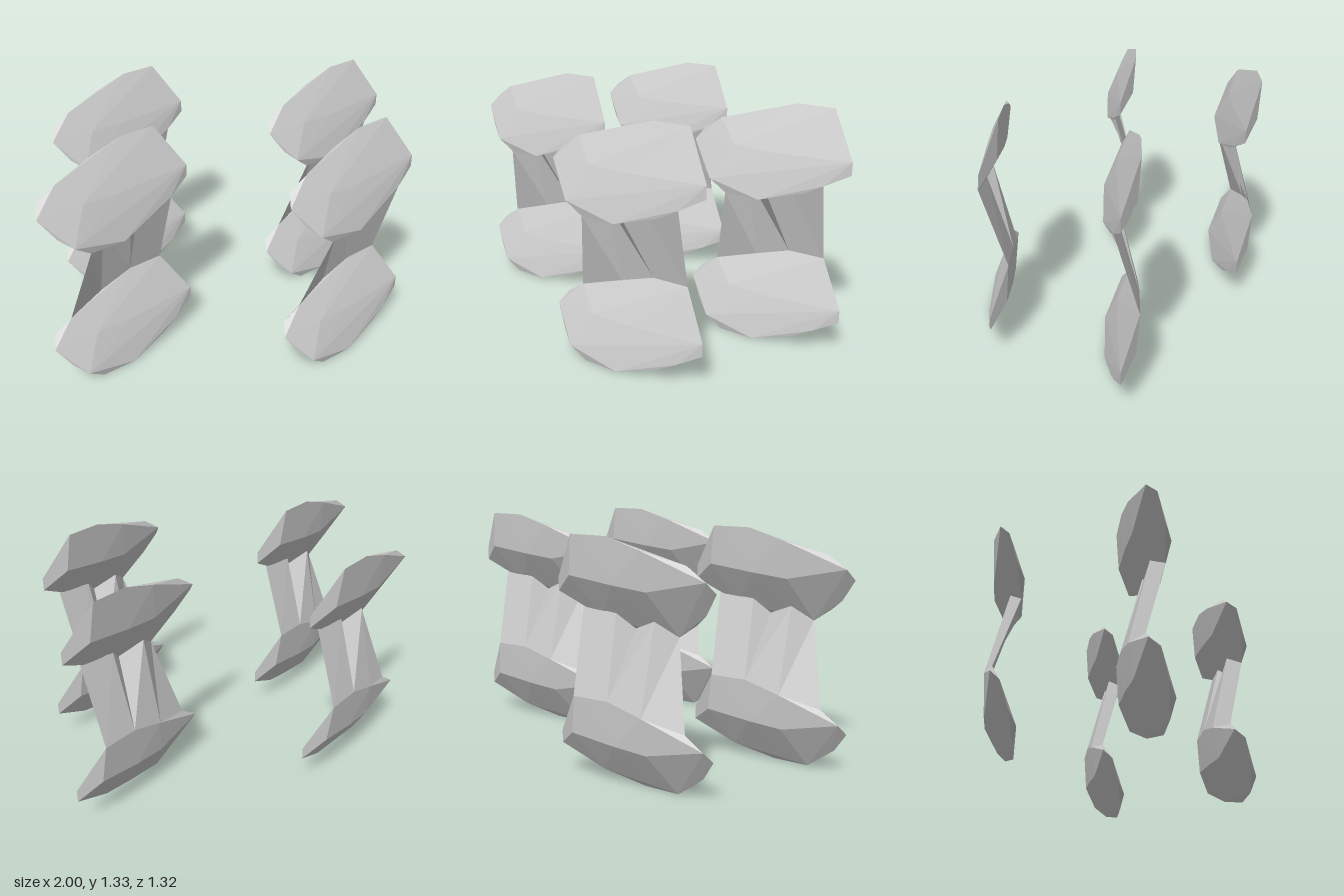
import * as THREE from 'three';
import { ConvexGeometry } from 'three/addons/geometries/ConvexGeometry.js';

const V = (p) => new THREE.Vector3(...p);
const LIFT = 0.833; // height between the lower and upper slab

// Rim of a slab: the top edge leans back, the bottom edge leans forward
const rim = [
  [-0.42, 0.5, 0.17], [-0.59, 0.5, 0.28], [-0.75, 0.44, 0.39], [-0.91, 0.38, 0.55],
  [-1, 0.31, 0.6], [-1, 0.25, 0.66], [-0.91, 0.13, 0.66], [-0.83, 0.07, 0.66],
  [-0.76, 0, 0.6], [-0.59, 0, 0.5], [-0.42, 0.065, 0.34], [-0.34, 0.12, 0.27],
  [-0.25, 0.19, 0.17], [-0.25, 0.26, 0.17],
];
// Nearly flat front face, and a ridge along the back face
const frontBulge = [[-0.78, 0.26, 0.545], [-0.6, 0.25, 0.425], [-0.42, 0.25, 0.29]];
const backRidge = [[-0.39, 0.29, 0.17], [-0.6, 0.26, 0.305], [-0.75, 0.24, 0.415], [-0.91, 0.26, 0.56]];

// Sheet of three panels stepped like saw teeth, joined by narrow pleats.
// It rises from the lower slab's top edge to the underside of the upper slab.
function sheetGeometry() {
  const [b0, b1, b2, b3] = rim;
  const raise = ([x, y, z]) => [x, y + LIFT, z];
  const [t0, t1, t2, t3, t4] = [
    rim[11], [-0.52, 0.1, 0.37], [-0.56, 0.02, 0.46], [-0.7, 0.08, 0.49], rim[8],
  ].map(raise);
  const triangles = [
    [b0, t1, t0], [b0, b1, t1],
    [b1, t2, t1],
    [b1, t3, t2], [b1, b2, t3],
    [b2, t4, t3],
    [b2, b3, t4],
  ];
  const geometry = new THREE.BufferGeometry().setFromPoints(triangles.flat().map(V));
  geometry.computeVertexNormals();
  return geometry;
}

export function createModel() {
  const slabMaterial = new THREE.MeshStandardMaterial({ color: 0xcccccc, flatShading: true });
  const sheetMaterial = new THREE.MeshStandardMaterial({
    color: 0xcccccc, flatShading: true, side: THREE.DoubleSide,
  });
  const slab = new ConvexGeometry([...rim, ...frontBulge, ...backRidge].map(V));
  const sheet = sheetGeometry();

  const model = new THREE.Group();
  model.name = 'slabStacks';

  // Four identical stacks in a two by two layout
  for (const x of [0, 1.25]) {
    for (const z of [0, -0.83]) {
      const stack = new THREE.Group();
      stack.name = 'stack';
      const add = (name, geometry, material, y = 0) => {
        const mesh = new THREE.Mesh(geometry, material);
        mesh.name = name;
        mesh.position.y = y;
        stack.add(mesh);
      };
      add('lowerSlab', slab, slabMaterial);
      add('upperSlab', slab, slabMaterial, LIFT);
      add('connectingSheet', sheet, sheetMaterial);
      stack.position.set(x, 0, z);
      model.add(stack);
    }
  }
  return model;
}
